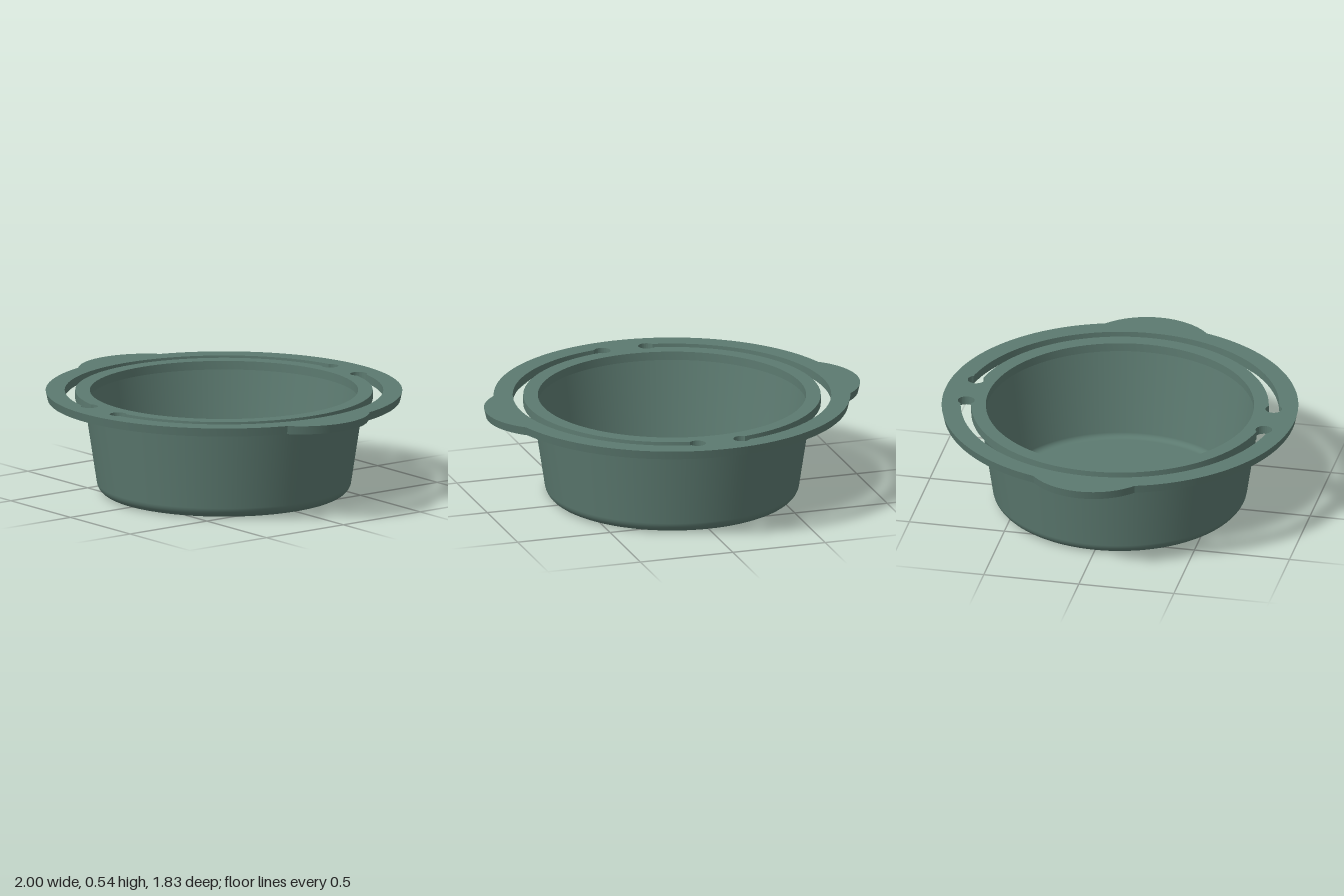
import * as THREE from 'three';
import { toCreasedNormals } from 'three/addons/utils/BufferGeometryUtils.js';

const RIM_BOTTOM = 0.49, RIM_TOP = 0.535;
const LIP_RADIUS = 0.69, RIM_RADIUS = 0.917;

const material = new THREE.MeshStandardMaterial({ color: 0x5c7a70 });

function addMesh(group, name, geometry) {
  const mesh = new THREE.Mesh(geometry, material);
  mesh.name = name;
  group.add(mesh);
}

// Fillet between the bowl's floor and wall, listed from the floor outwards
function fillet(cx, cy, r, steps) {
  const points = [];
  for (let i = 0; i <= steps; i++) {
    const a = -Math.PI / 2 + (i / steps) * THREE.MathUtils.degToRad(81);
    points.push(new THREE.Vector2(cx + r * Math.cos(a), cy + r * Math.sin(a)));
  }
  return points;
}

// Round rim with a rounded grip lobe on each side
function rimOutline() {
  const lobeX = 0.649, lobeR = 0.351;
  const x = (RIM_RADIUS ** 2 - lobeR ** 2 + lobeX ** 2) / (2 * lobeX);
  const z = Math.sqrt(RIM_RADIUS ** 2 - x * x);
  const rimA = Math.atan2(z, x), lobeA = Math.atan2(z, x - lobeX);
  const shape = new THREE.Shape();
  shape.absarc(lobeX, 0, lobeR, -lobeA, lobeA, false);
  shape.absarc(0, 0, RIM_RADIUS, rimA, Math.PI - rimA, false);
  shape.absarc(-lobeX, 0, lobeR, Math.PI - lobeA, Math.PI + lobeA, false);
  shape.absarc(0, 0, RIM_RADIUS, Math.PI + rimA, 2 * Math.PI - rimA, false);
  return shape;
}

// Curved slot ending in round keyholes; turn = 0 for left, PI for right
function slot(turn) {
  const inner = 0.765, outer = 0.819, holeR = 0.043;
  const mid = (inner + outer) / 2, half = (outer - inner) / 2;
  const endA = Math.atan2(0.785, 0.12);
  const joinA = endA - Math.sqrt(holeR ** 2 - half ** 2) / mid;
  const spread = Math.asin(half / holeR);
  const path = new THREE.Path();
  const keyhole = (a, from, to) =>
    path.absarc(mid * Math.cos(a), mid * Math.sin(a), holeR, from, to, false);
  path.absarc(0, 0, outer, turn - joinA, turn + joinA, false);
  const top = turn + endA, bottom = turn - endA;
  // Each keyhole sweeps round from one slot edge to the other
  keyhole(top, top - Math.PI / 2 + spread, top + 1.5 * Math.PI - spread);
  path.absarc(0, 0, inner, turn + joinA, turn - joinA, true);
  keyhole(bottom, bottom + Math.PI / 2 + spread, bottom + 2.5 * Math.PI - spread);
  return path;
}

function rimGeometry() {
  const shape = rimOutline();
  const mouth = new THREE.Path();
  mouth.absarc(0, 0, LIP_RADIUS, 0, Math.PI * 2, true);
  shape.holes.push(mouth, slot(0), slot(Math.PI));
  const geometry = new THREE.ExtrudeGeometry(shape, {
    depth: RIM_TOP - RIM_BOTTOM, bevelEnabled: false, curveSegments: 48,
  });
  geometry.rotateX(-Math.PI / 2).translate(0, RIM_BOTTOM, 0);
  // Draw the lower outer edge in a little
  const p = geometry.attributes.position;
  for (let i = 0; i < p.count; i++) {
    const x = p.getX(i), z = p.getZ(i);
    if (p.getY(i) < RIM_BOTTOM + 0.01 && Math.hypot(x, z) > 0.87) {
      p.setX(i, x * 0.989);
      p.setZ(i, z * 0.989);
    }
  }
  return toCreasedNormals(geometry, THREE.MathUtils.degToRad(25));
}

export function createModel() {
  const group = new THREE.Group();
  group.name = 'bowl';

  // Outer wall and base
  const outside = [
    new THREE.Vector2(0, 0), new THREE.Vector2(0.58, 0),
    ...fillet(0.59, 0.065, 0.065, 8),
    new THREE.Vector2(0.72, RIM_BOTTOM),
  ];
  addMesh(group, 'outerWall', new THREE.LatheGeometry(outside, 96));

  // Inner wall and floor, run from the lip down
  const inside = [
    new THREE.Vector2(0, 0.03), new THREE.Vector2(0.585, 0.03),
    ...fillet(0.592, 0.06, 0.03, 5),
    new THREE.Vector2(LIP_RADIUS, RIM_BOTTOM),
  ].reverse();
  addMesh(group, 'innerWall', new THREE.LatheGeometry(inside, 96));

  // Flat rim with side grips and slots
  addMesh(group, 'rim', rimGeometry());
  return group;
}
